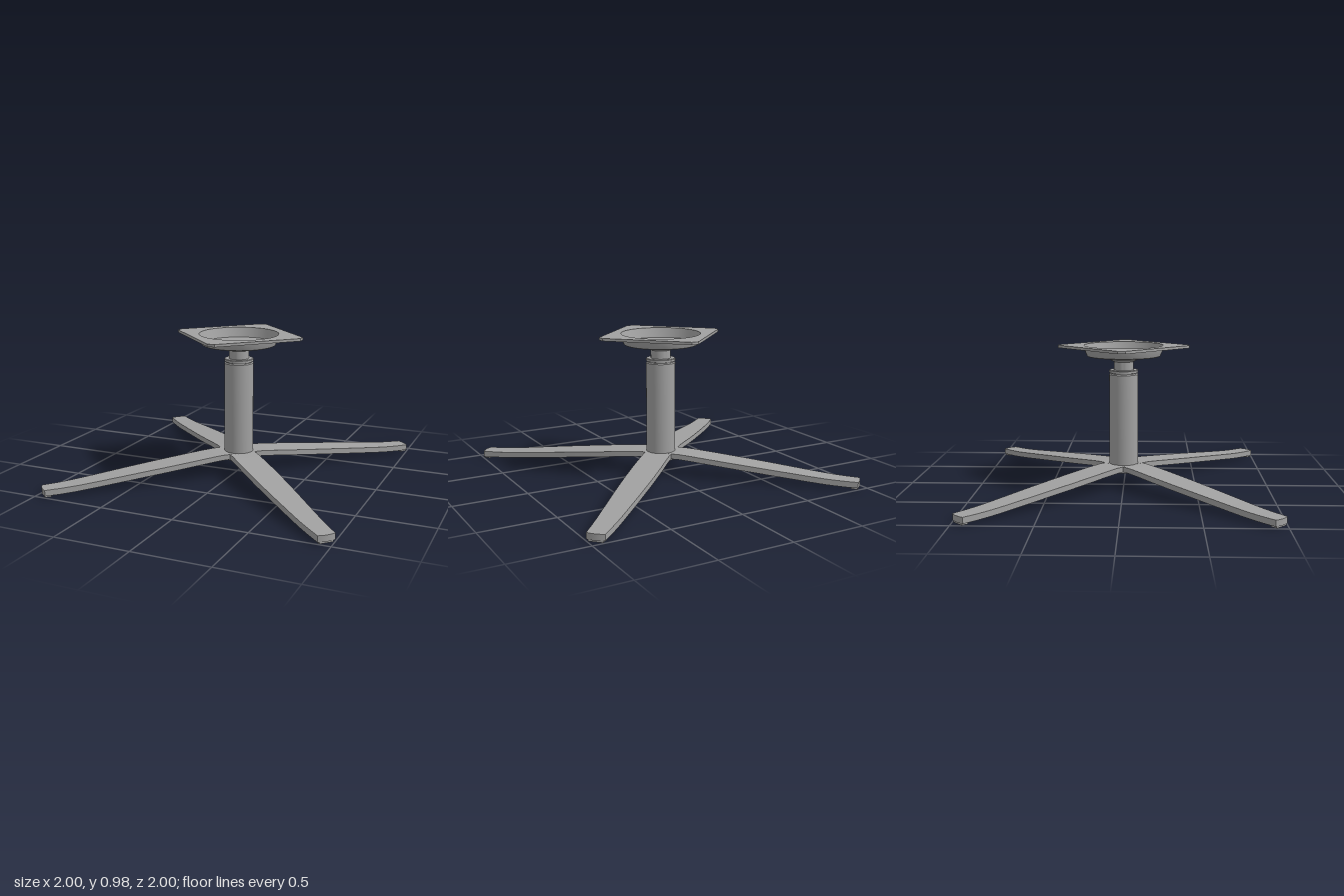
import * as THREE from 'three';
import { toCreasedNormals } from 'three/addons/utils/BufferGeometryUtils.js';

const darkGrey = new THREE.MeshStandardMaterial({ color: 0xa1a1a1 });

function addMesh(parent, name, geometry) {
  const mesh = new THREE.Mesh(toCreasedNormals(geometry, 0.5), darkGrey);
  mesh.name = name;
  parent.add(mesh);
  return mesh;
}

// Revolve [radius, y] pairs, listed upwards along the outside
function lathe(points) {
  return new THREE.LatheGeometry(points.map(([r, y]) => new THREE.Vector2(r, y)), 48);
}

// Value at r in a list of [r, value] stops
function along(stops, r) {
  for (let i = 1; i < stops.length; i++) {
    const [a, va] = stops[i - 1], [b, vb] = stops[i];
    if (r <= b) return va + (vb - va) * (r - a) / (b - a);
  }
  return stops[stops.length - 1][1];
}

const legWidth = [[0, 0.182], [0.35, 0.189], [0.55, 0.184], [0.8, 0.167], [1.1, 0.14], [1.357, 0.113]];
const legTop = [[0, 0.157], [0.15, 0.156], [0.25, 0.148], [0.7, 0.105], [1.05, 0.07], [1.15, 0.061], [1.25, 0.055], [1.36, 0.052]];
const legDepth = [[0, 0.036], [0.6, 0.038], [1.36, 0.04]];

// A box whose sections follow the width and height curves, with a bowed tip
function legGeometry() {
  const length = 1.357;
  const geo = new THREE.BoxGeometry(1, 1, 1, 28, 1, 6);
  const p = geo.attributes.position;
  for (let i = 0; i < p.count; i++) {
    const r = (p.getX(i) + 0.5) * length, side = p.getZ(i);
    const bow = r > length - 0.001 ? 0.009 * (1 - 4 * side * side) : 0;
    const top = along(legTop, r);
    p.setXYZ(i, r + bow, p.getY(i) > 0 ? top : top - along(legDepth, r), side * along(legWidth, r));
  }
  return geo;
}

// Square plate with clipped corners and a round opening
function plateGeometry() {
  const h = 0.336, c = h - 0.036;
  const corners = [[-c, -h], [c, -h], [h, -c], [h, c], [c, h], [-c, h], [-h, c], [-h, -c]];
  const shape = new THREE.Shape(corners.map(([x, y]) => new THREE.Vector2(x, y)));
  const hole = new THREE.Path();
  hole.absarc(0, 0, 0.272, 0, Math.PI * 2, true);
  shape.holes.push(hole);
  const geo = new THREE.ExtrudeGeometry(shape, { depth: 0.018, bevelEnabled: false, curveSegments: 24 });
  return geo.rotateX(-Math.PI / 2).rotateY(Math.PI / 4).translate(0, 0.963, 0);
}

export function createModel() {
  const model = new THREE.Group();
  model.name = 'pedestalBase';

  // Four splayed legs with foot pads
  for (let i = 0; i < 4; i++) {
    const leg = new THREE.Group();
    leg.name = 'leg' + (i + 1);
    leg.rotation.y = Math.PI / 4 + i * Math.PI / 2;
    addMesh(leg, 'legBar', legGeometry());
    addMesh(leg, 'footPad', new THREE.BoxGeometry(0.045, 0.016, 0.09).translate(1.335, 0.008, 0));
    model.add(leg);
  }

  const post = new THREE.Group();
  post.name = 'post';
  post.position.set(0.01, 0, -0.001);
  model.add(post);

  // Outer column with collar above a shallow groove
  addMesh(post, 'column', lathe([
    [0, 0.1], [0.1, 0.1], [0.1, 0.78], [0.093, 0.787], [0.093, 0.791],
    [0.1, 0.793], [0.1, 0.808], [0.096, 0.812], [0, 0.812],
  ]));

  // Inner piston with domed end
  addMesh(post, 'piston', lathe([[0.068, 0.8], [0.068, 0.87], [0, 0.87]]));
  addMesh(post, 'pistonDome', lathe([
    [0.058, 0.87], [0.055, 0.875], [0.047, 0.881], [0.034, 0.886], [0.018, 0.889], [0, 0.89],
  ]));

  // Cup flaring from the piston up to the dish floor
  addMesh(post, 'cup', lathe([
    [0.068, 0.868], [0.075, 0.87], [0.105, 0.886], [0.105, 0.908],
    [0.102, 0.908], [0.07, 0.874], [0.066, 0.87],
  ]));

  // Shallow open dish, a closed thin shell
  addMesh(post, 'dish', lathe([
    [0.102, 0.905], [0.244, 0.905], [0.252, 0.909], [0.276, 0.965], [0.276, 0.981],
    [0.271, 0.981], [0.249, 0.914], [0.108, 0.914], [0.102, 0.905],
  ]));

  addMesh(post, 'topPlate', plateGeometry());
  return model;
}
